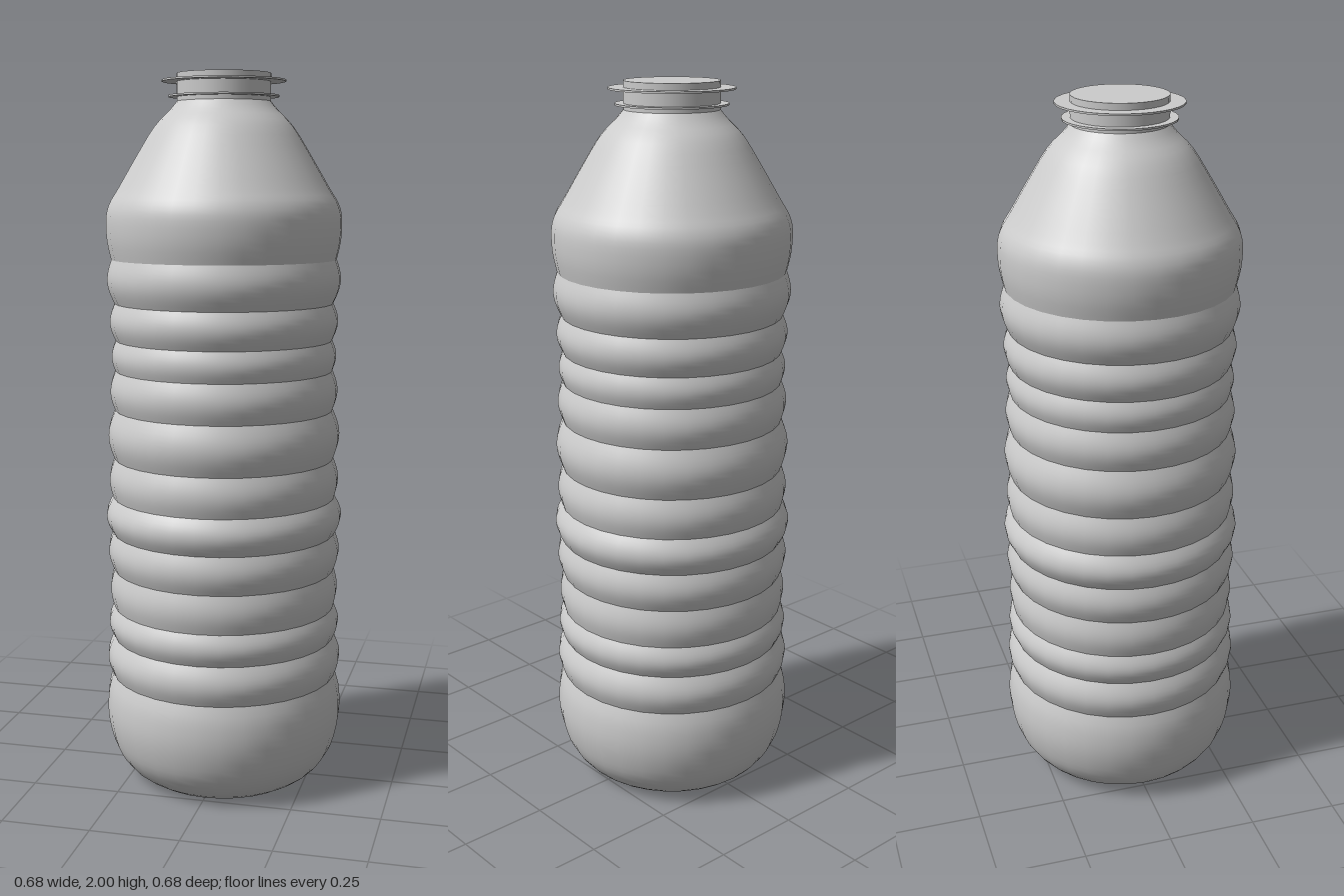
import * as THREE from 'three';

const SIDES = 32;
const material = new THREE.MeshStandardMaterial({ color: 0xcccccc, side: THREE.DoubleSide });

// Revolve a bottom-to-top list of [radius, height] pairs
function turned(name, profile) {
  const points = profile.map(([r, y]) => new THREE.Vector2(r, y));
  const mesh = new THREE.Mesh(new THREE.LatheGeometry(points, SIDES), material);
  mesh.name = name;
  return mesh;
}

// Smooth curve through a few profile points
function smooth(profile, steps) {
  const curve = new THREE.SplineCurve(profile.map(([r, y]) => new THREE.Vector2(r, y)));
  return curve.getPoints(steps).map((p) => [p.x, p.y]);
}

function disc(name, radius, height, y) {
  const mesh = new THREE.Mesh(new THREE.CylinderGeometry(radius, radius, height, SIDES), material);
  mesh.name = name;
  mesh.position.y = y;
  return mesh;
}

export function createModel() {
  const bottle = new THREE.Group();
  bottle.name = 'bottle';

  // Flat underside and rounded base
  bottle.add(turned('underside', [[0, 0], [0.23, 0]]));
  bottle.add(turned('base', smooth([
    [0.23, 0], [0.275, 0.03], [0.312, 0.08], [0.332, 0.14],
    [0.34, 0.2], [0.336, 0.26], [0.323, 0.306],
  ], 18)));

  // Ribbed body: groove [height, radius] pairs with a bulge between neighbours
  const grooves = [
    [0.306, 0.323], [0.417, 0.318], [0.507, 0.317], [0.616, 0.316],
    [0.724, 0.318], [0.827, 0.316], [0.938, 0.311], [1.077, 0.308],
    [1.188, 0.306], [1.273, 0.304], [1.376, 0.306], [1.497, 0.314],
  ];
  const bulges = [0.337, 0.332, 0.327, 0.331, 0.336, 0.326, 0.328, 0.321, 0.316, 0.32, 0.326];
  const ribs = new THREE.Group();
  ribs.name = 'ribs';
  bulges.forEach((peak, i) => {
    const [y0, r0] = grooves[i];
    const [y1, r1] = grooves[i + 1];
    const profile = [];
    for (let k = 0; k <= 10; k++) {
      const t = k / 10;
      const edge = r0 + (r1 - r0) * t;
      profile.push([edge + (peak - (r0 + r1) / 2) * Math.sin(Math.PI * t), y0 + (y1 - y0) * t]);
    }
    ribs.add(turned('rib' + (i + 1), profile));
  });
  bottle.add(ribs);

  // Shoulder tapering into the neck
  bottle.add(turned('shoulder', smooth([
    [0.314, 1.497], [0.325, 1.55], [0.327, 1.61], [0.317, 1.65], [0.293, 1.69],
    [0.243, 1.775], [0.193, 1.855], [0.15, 1.9], [0.129, 1.925],
  ], 24)));

  // Closed neck with two thin flanges
  bottle.add(disc('neck', 0.129, 0.08, 1.96));
  bottle.add(disc('lowerFlange', 0.152, 0.005, 1.939));
  bottle.add(disc('upperFlange', 0.17, 0.005, 1.98));

  return bottle;
}
